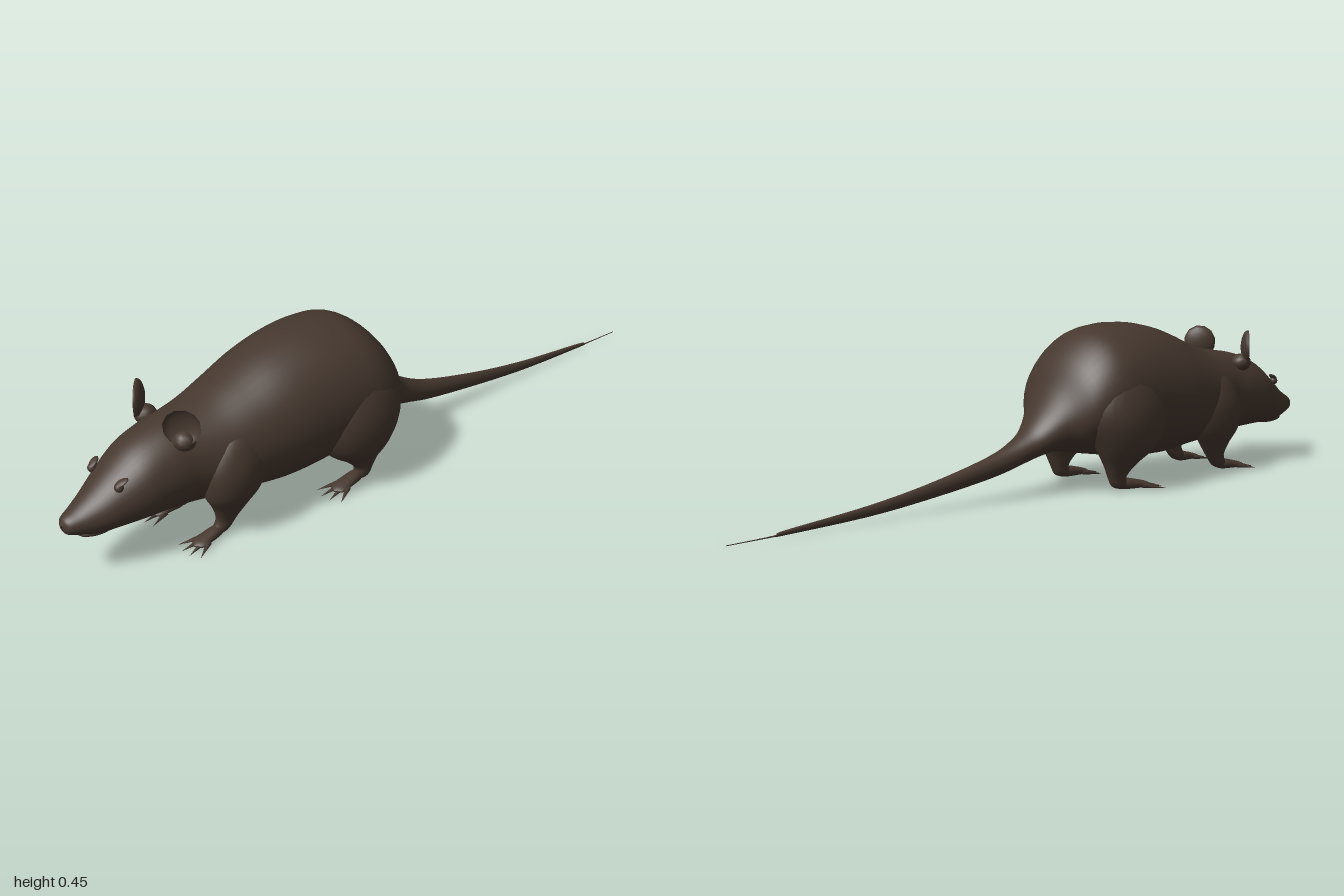
import * as THREE from 'three';

const fur = new THREE.MeshStandardMaterial({ color: 0x46382f, side: THREE.DoubleSide });
fur.name = 'dark brown fur';

function mesh(geometry, name) {
  const m = new THREE.Mesh(geometry, fur);
  m.name = name;
  return m;
}

// Smooth skin through elliptical sections [x, y, z, radiusA, radiusB].
// upright: rings lie flat and run downwards; otherwise they face z and run backwards.
function loft(sections, { upright = false, steps = 48, sides = 32 } = {}) {
  const spline = pts => new THREE.CatmullRomCurve3(pts, false, 'catmullrom', 0.5);
  const centres = spline(sections.map(s => new THREE.Vector3(s[0], s[1], s[2])));
  const radii = spline(sections.map(s => new THREE.Vector3(s[3], s[4], 0)));
  const pos = [], index = [];
  for (let i = 0; i <= steps; i++) {
    const c = centres.getPoint(i / steps), r = radii.getPoint(i / steps);
    const ra = Math.max(r.x, 0.0005), rb = Math.max(r.y, 0.0005);
    for (let j = 0; j < sides; j++) {
      const t = j / sides * Math.PI * 2;
      const a = Math.cos(t) * ra, b = Math.sin(t) * rb;
      if (upright) pos.push(c.x + a, c.y, c.z - b);
      else pos.push(c.x + a, c.y + b, c.z);
      if (i < steps) {
        const k = i * sides, n = (j + 1) % sides;
        index.push(k + j, k + sides + j, k + n, k + n, k + sides + j, k + sides + n);
      }
    }
  }
  const g = new THREE.BufferGeometry();
  g.setAttribute('position', new THREE.Float32BufferAttribute(pos, 3));
  g.setIndex(index);
  g.computeVertexNormals();
  return g;
}

// Body stations as [z, top, bottom, half width].
const stations = [
  [1.0, 0.168, 0.152, 0.006], [0.99, 0.182, 0.137, 0.026], [0.96, 0.197, 0.126, 0.042],
  [0.92, 0.222, 0.114, 0.06], [0.87, 0.26, 0.112, 0.08], [0.8, 0.31, 0.11, 0.103],
  [0.73, 0.337, 0.107, 0.113], [0.66, 0.35, 0.1, 0.12], [0.58, 0.364, 0.09, 0.142],
  [0.5, 0.392, 0.082, 0.16], [0.4, 0.432, 0.07, 0.178], [0.3, 0.455, 0.072, 0.187],
  [0.2, 0.458, 0.085, 0.192], [0.12, 0.438, 0.098, 0.188], [0.05, 0.375, 0.11, 0.158],
  [0, 0.288, 0.117, 0.1], [-0.05, 0.213, 0.108, 0.064], [-0.1, 0.17, 0.094, 0.044],
  [-0.2, 0.127, 0.068, 0.026], [-0.4, 0.08, 0.039, 0.014], [-0.6, 0.047, 0.019, 0.009],
  [-0.84, 0.021, 0.009, 0.005], [-0.87, 0.013, 0.009, 0.002], [-1, 0.009, 0.007, 0.001],
];

const hindLimb = [
  [0.1, 0.38, 0.16, 0.01, 0.02], [0.113, 0.34, 0.17, 0.055, 0.08], [0.12, 0.27, 0.172, 0.083, 0.122],
  [0.125, 0.2, 0.175, 0.088, 0.13], [0.127, 0.13, 0.178, 0.07, 0.1], [0.123, 0.08, 0.16, 0.038, 0.055],
  [0.12, 0.045, 0.15, 0.023, 0.03], [0.12, 0.018, 0.16, 0.018, 0.026], [0.12, 0.008, 0.165, 0.003, 0.005],
];

const frontLimb = [
  [0.09, 0.32, 0.54, 0.01, 0.02], [0.096, 0.28, 0.545, 0.046, 0.066], [0.102, 0.21, 0.555, 0.062, 0.092],
  [0.1, 0.14, 0.565, 0.056, 0.082], [0.093, 0.09, 0.57, 0.036, 0.052], [0.087, 0.05, 0.58, 0.021, 0.032],
  [0.085, 0.02, 0.6, 0.017, 0.026], [0.085, 0.008, 0.605, 0.003, 0.005],
];

// Flat paw with four spread, tapering toes; origin at the heel.
function paw(name) {
  const g = new THREE.Group();
  g.name = name;
  g.add(mesh(loft([
    [0, 0.012, 0.1, 0.002, 0.002], [0, 0.014, 0.085, 0.024, 0.008], [0, 0.018, 0.05, 0.022, 0.013],
    [0, 0.022, 0.01, 0.017, 0.016], [0, 0.02, -0.02, 0.002, 0.003],
  ], { steps: 12, sides: 12 }), 'palm'));
  for (let i = 0; i < 4; i++) {
    const s = i - 1.5;
    const toe = new THREE.ConeGeometry(0.008, 0.065, 6);
    toe.translate(0, 0.0325, 0).rotateX(Math.PI / 2 + 0.14);
    const m = mesh(toe, 'toe');
    m.position.set(s * 0.012, 0.014, 0.075 - Math.abs(s) * 0.008);
    m.rotation.y = s * 0.3;
    g.add(m);
  }
  return g;
}

function createSide() {
  const g = new THREE.Group();
  g.add(mesh(loft(hindLimb, { upright: true, steps: 32, sides: 24 }), 'hindLeg'));
  g.add(mesh(loft(frontLimb, { upright: true, steps: 32, sides: 24 }), 'frontLeg'));

  const hindPaw = paw('hindPaw');
  hindPaw.position.set(0.12, 0, 0.165);
  hindPaw.rotation.y = 0.12;
  const frontPaw = paw('frontPaw');
  frontPaw.position.set(0.085, 0, 0.6);
  frontPaw.scale.set(0.95, 0.95, 0.9);
  frontPaw.rotation.y = 0.12;
  g.add(hindPaw, frontPaw);

  // Cupped ear opening forwards and outwards
  const cup = new THREE.SphereGeometry(1, 12, 6, 0, Math.PI * 2, 0, Math.PI / 2);
  cup.rotateX(-Math.PI / 2).scale(0.048, 0.05, 0.022);
  const ear = mesh(cup, 'ear');
  ear.position.set(0.099, 0.364, 0.705);
  ear.rotation.set(0, 0.75, -0.2, 'YXZ');
  g.add(ear);
  const root = mesh(new THREE.SphereGeometry(1, 12, 8), 'earRoot');
  root.scale.set(0.03, 0.026, 0.03);
  root.position.set(0.085, 0.318, 0.69);
  g.add(root);

  // Eye and its brow fold
  const eye = mesh(new THREE.SphereGeometry(0.012, 12, 8), 'eye');
  eye.position.set(0.06, 0.245, 0.868);
  const brow = mesh(new THREE.SphereGeometry(1, 10, 6), 'brow');
  brow.scale.set(0.012, 0.005, 0.02);
  brow.position.set(0.062, 0.257, 0.862);
  brow.rotation.set(0.5, -0.4, 0);
  g.add(eye, brow);

  // Nostril pad
  const nostril = mesh(new THREE.SphereGeometry(1, 10, 6), 'nostril');
  nostril.scale.set(0.011, 0.009, 0.01);
  nostril.position.set(0.012, 0.158, 0.987);
  g.add(nostril);
  return g;
}

export function createModel() {
  const model = new THREE.Group();
  model.name = 'rat';

  // Head, trunk and tail as one skin
  const sections = stations.map(([z, top, bottom, w]) => [0, (top + bottom) / 2, z, w, (top - bottom) / 2]);
  model.add(mesh(loft(sections, { steps: 120, sides: 40 }), 'body'));

  // Lower jaw
  const jaw = mesh(new THREE.SphereGeometry(1, 16, 10), 'lowerJaw');
  jaw.scale.set(0.034, 0.016, 0.06);
  jaw.position.set(0, 0.122, 0.9);
  model.add(jaw);

  const left = createSide();
  left.name = 'leftSide';
  const right = createSide();
  right.name = 'rightSide';
  right.scale.x = -1;
  model.add(left, right);
  return model;
}
